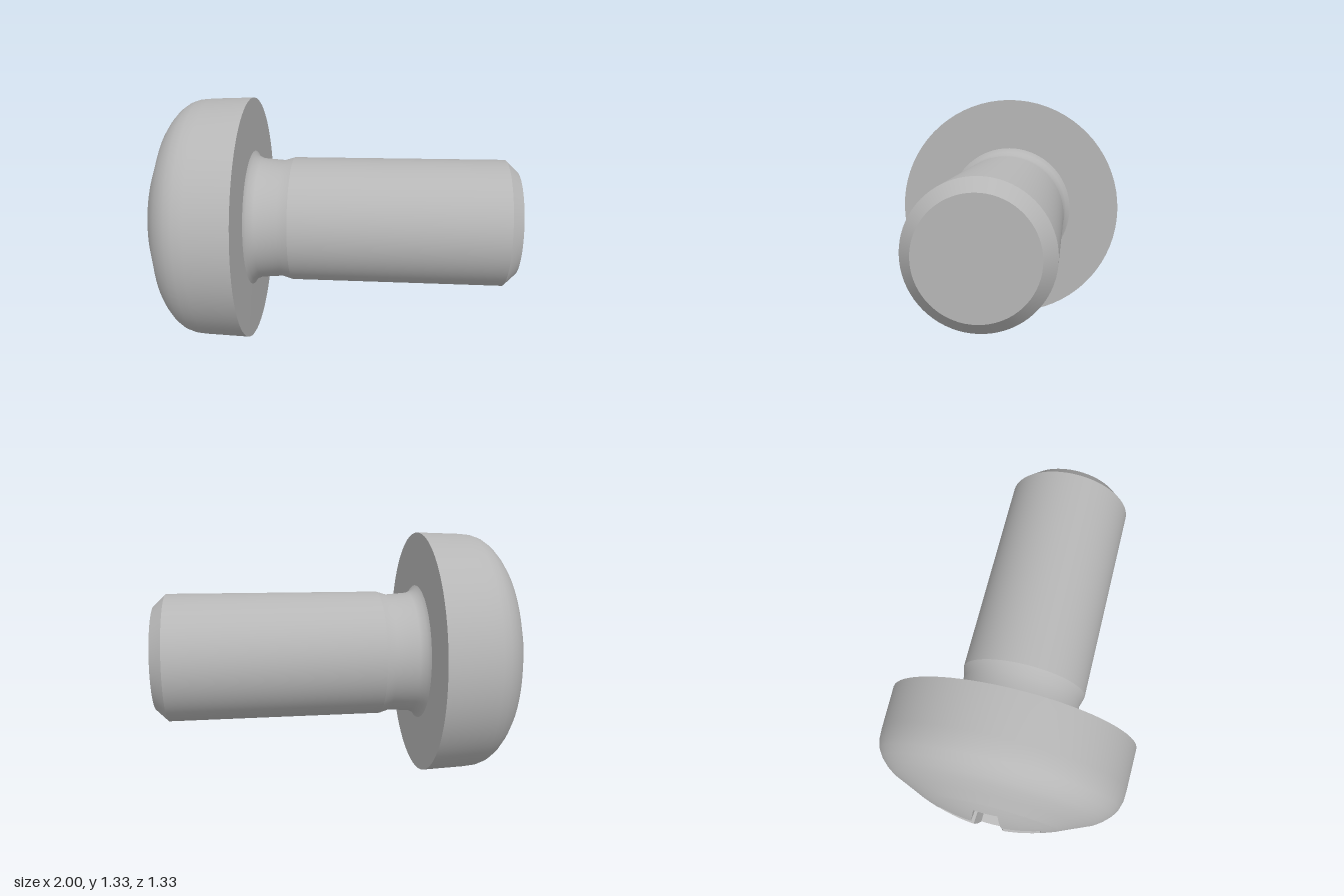
import * as THREE from 'three';
import { toCreasedNormals } from 'three/addons/utils/BufferGeometryUtils.js';

const steel = new THREE.MeshStandardMaterial({ color: 0xb6b6b6 });
steel.name = 'steel grey';

const domeX = (r) => -1 + 0.53 * r * r; // crown height at a given radius
const CROWN_R = 0.36;

// Turned part around the x axis; profile is [x, radius] from head to tip
function turned(name, profile, crease = 0.5) {
  const pts = profile.map(([x, r]) => new THREE.Vector2(r, x));
  const geo = new THREE.LatheGeometry(pts, 72);
  geo.rotateZ(-Math.PI / 2);
  const mesh = new THREE.Mesh(toCreasedNormals(geo, crease), steel);
  mesh.name = name;
  return mesh;
}

// Cross outline as [y, z] points: arm length, half width at the tip, inner corner
function crossOutline(len, w, c) {
  const corners = [];
  for (let k = 0; k < 4; k++) {
    const co = Math.round(Math.cos(k * Math.PI / 2));
    const si = Math.round(Math.sin(k * Math.PI / 2));
    for (const [y, z] of [[len, -w], [len, w], [c, c]]) {
      corners.push([y * co - z * si, y * si + z * co]);
    }
  }
  const out = [];
  corners.forEach(([y, z], i) => {
    const [y2, z2] = corners[(i + 1) % corners.length];
    for (let s = 0; s < 5; s++) out.push([y + (y2 - y) * s / 5, z + (z2 - z) * s / 5]);
  });
  return out;
}

// Surface through loops of [x, y, z], listed from the inside outwards, facing -x
function skin(name, loops, crease) {
  const pos = [];
  for (let l = 0; l < loops.length - 1; l++) {
    const a = loops[l], b = loops[l + 1];
    for (let i = 0; i < a.length; i++) {
      const j = (i + 1) % a.length;
      pos.push(...a[i], ...a[j], ...b[i], ...a[j], ...b[j], ...b[i]);
    }
  }
  const geo = new THREE.BufferGeometry();
  geo.setAttribute('position', new THREE.Float32BufferAttribute(pos, 3));
  const mesh = new THREE.Mesh(toCreasedNormals(geo, crease), steel);
  mesh.name = name;
  return mesh;
}

export function createModel() {
  const model = new THREE.Group();
  model.name = 'panHeadScrew';
  const screw = new THREE.Group();
  screw.name = 'screw';

  // Rounded crown with the cross cut out of it
  const rim = crossOutline(0.275, 0.06, 0.078);
  const crownLoops = [0, 0.25, 0.5, 0.75, 1].map((t) => rim.map(([y, z]) => {
    const r0 = Math.hypot(y, z);
    const r = r0 + (CROWN_R - r0) * t;
    return [domeX(r), y * r / r0, z * r / r0];
  }));
  screw.add(skin('crown', crownLoops, 0.5));

  // Tapered cross recess
  const level = (x, len, w, c) => crossOutline(len, w, c).map(([y, z]) => [x, y, z]);
  screw.add(skin('crossRecess', [
    rim.map(() => [-0.66, 0, 0]),
    level(-0.69, 0.09, 0.04, 0.05),
    level(-0.82, 0.18, 0.048, 0.064),
    crownLoops[0],
  ], 0.3));

  // Head side and flat underside
  screw.add(turned('head', [
    [domeX(0.355), 0.355], [domeX(0.45), 0.45], [-0.857, 0.535], [-0.83, 0.575],
    [-0.797, 0.611], [-0.76, 0.637], [-0.716, 0.652], [-0.66, 0.657],
    [-0.435, 0.665], [-0.433, 0.36],
  ]));

  // Fillet and undercut neck
  screw.add(turned('neck', [
    [-0.434, 0.375], [-0.42, 0.35], [-0.385, 0.333], [-0.265, 0.324], [-0.21, 0.341],
  ], 0.7));

  // Shank with chamfered tip
  screw.add(turned('shank', [
    [-0.21, 0.341], [0.935, 0.345], [1, 0.283], [1, 0],
  ]));

  // The shank leans very slightly off the axis
  screw.rotation.set(0, -0.009, 0.008);
  screw.position.set(0, 0.672, 0.004);
  model.add(screw);
  return model;
}
